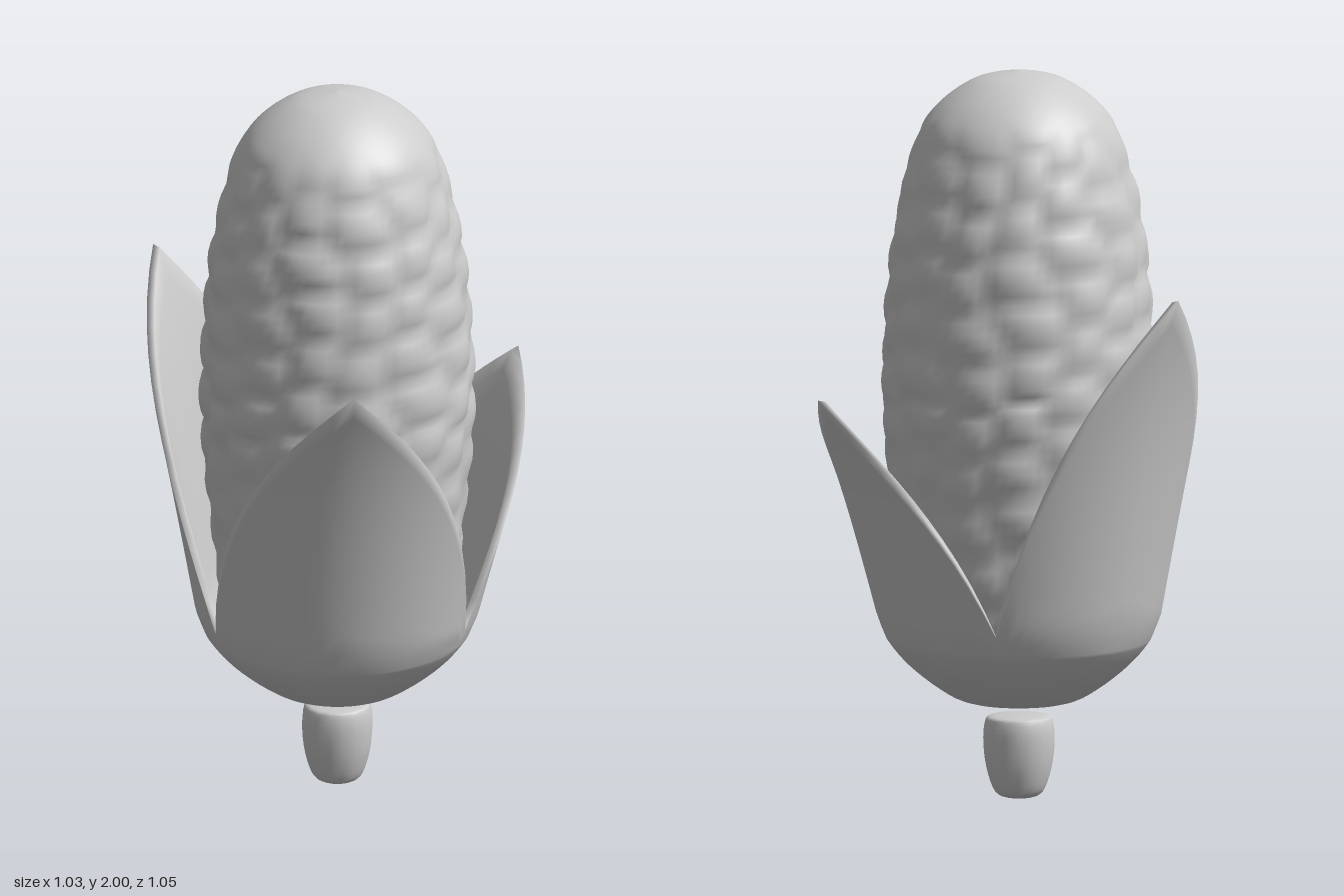
import * as THREE from 'three';
import { mergeVertices } from 'three/addons/utils/BufferGeometryUtils.js';

const plainGrey = new THREE.MeshStandardMaterial({ color: 0xcccccc });
const RAD = Math.PI / 180;

// Skin a ring of columns; each column runs up the outside as [radius, height] pairs
function loft(angles, columnAt) {
  const pos = [], index = [];
  const cols = angles.map(columnAt);
  const rows = cols[0].length, n = angles.length;
  cols.forEach((col, i) => col.forEach(([r, y]) =>
    pos.push(r * Math.cos(angles[i]), y, r * Math.sin(angles[i]))));
  for (let i = 0; i < n; i++) {
    for (let j = 0; j < rows - 1; j++) {
      const a = i * rows + j, b = ((i + 1) % n) * rows + j;
      index.push(a, a + 1, b, b, a + 1, b + 1);
    }
  }
  let geo = new THREE.BufferGeometry();
  geo.setAttribute('position', new THREE.Float32BufferAttribute(pos, 3));
  geo.setIndex(index);
  geo = mergeVertices(geo, 1e-4);
  geo.computeVertexNormals();
  return geo;
}

const spline = pts => new THREE.SplineCurve(pts.map(p => new THREE.Vector2(...p)));
const ring = n => Array.from({ length: n }, (_, i) => (i / n) * Math.PI * 2);

// Cob: rounded column with shallow, unevenly staggered kernels
function cobGeometry() {
  const profile = spline([[0, 0.4], [0.24, 0.42], [0.31, 0.55], [0.346, 0.8], [0.368, 1.05], [0.368, 1.2],
    [0.357, 1.4], [0.333, 1.6], [0.283, 1.8], [0.225, 1.9], [0.12, 1.975], [0, 2]]);
  const kernels = 14, per = 6;
  return loft(ring(kernels * per), (angle, i) => {
    const out = [];
    for (let j = 0; j <= 84; j++) {
      const p = profile.getPoint(j / 84);
      // column borders wander with height, rows are shifted per column
      const around = i / per + 0.22 * Math.sin(p.y * 11 + 3 * angle) + 14;
      const column = Math.floor(around) % kernels;
      const across = Math.sin(Math.PI * (around % 1));
      const shift = (column % 2) * 0.5 + 0.16 * Math.sin(column * 2.4);
      const along = Math.abs(Math.sin(Math.PI * (p.y / 0.135 + shift)));
      const fade = THREE.MathUtils.clamp((1.9 - p.y) / 0.2, 0, 1);
      out.push([Math.max(0, p.x + fade * (0.02 * Math.sqrt(across * along) - 0.012)), p.y]);
    }
    return out;
  });
}

// Husk: one cup that splits into three pointed, flaring leaves
function huskGeometry() {
  const leaves = [
    { angle: 72.5, tip: 1.33 },
    { angle: 200.5, tip: 1.43 },
    { angle: 312, tip: 1.13 },
  ];
  const cup = spline([[0, 0.3], [0.07, 0.29], [0.09, 0.262], [0.16, 0.272], [0.22, 0.305],
    [0.285, 0.355], [0.33, 0.4], [0.36, 0.44]]).getPoints(21);
  const half = 12, angles = [], info = [];
  leaves.forEach((leaf, k) => {
    const prev = leaves[(k + 2) % 3].angle - (k === 0 ? 360 : 0);
    const next = leaves[(k + 1) % 3].angle + (k === 2 ? 360 : 0);
    for (let s = -half; s < half; s++) {
      const t = Math.abs(s) / half;
      const notch = ((s < 0 ? prev : next) + leaf.angle) / 2;
      angles.push((leaf.angle + (notch - leaf.angle) * t) * RAD);
      info.push({ leaf, edge: 0.5 + (leaf.tip - 0.5) * (1 - 0.72 * t - 0.28 * t ** 3) });
    }
  });
  return loft(angles, (angle, i) => {
    const { leaf, edge } = info[i];
    const radius = y => {
      const h = Math.max(0, (y - 0.5) / (leaf.tip - 0.5));
      return 0.385 - 0.42 * Math.max(0, 0.5 - y) + 0.12 * h + 0.095 * h ** 3
        + 0.015 * Math.sin(Math.PI * h);
    };
    const col = cup.map(p => [p.x, p.y]);
    const steps = 14;
    for (let j = 1; j <= steps; j++) {
      const y = 0.44 + (edge - 0.44) * j / steps;
      col.push([radius(y), y]);
    }
    // inner face back down behind the cob
    for (let j = steps; j >= 0; j--) {
      const y = 0.44 + (edge - 0.006 - 0.44) * j / steps;
      col.push([radius(y) - 0.02 - 0.012 * (1 - j / steps), y]);
    }
    col.push([0.24, 0.36]);
    return col;
  });
}

// Stalk: short rounded peg below the husk
function stalkGeometry() {
  const profile = spline([[0, 0], [0.045, 0.004], [0.07, 0.025], [0.09, 0.09], [0.097, 0.16],
    [0.092, 0.21], [0.075, 0.226], [0, 0.23]]).getPoints(24);
  return loft(ring(16), () => profile.map(p => [Math.max(0, p.x), Math.max(0, p.y)]));
}

export function createModel() {
  const group = new THREE.Group();
  group.name = 'cornCob';
  const parts = { cob: cobGeometry(), husk: huskGeometry(), stalk: stalkGeometry() };
  for (const [name, geo] of Object.entries(parts)) {
    const mesh = new THREE.Mesh(geo, plainGrey);
    mesh.name = name;
    mesh.position.set(0.058, 0, -0.053);
    group.add(mesh);
  }
  return group;
}
